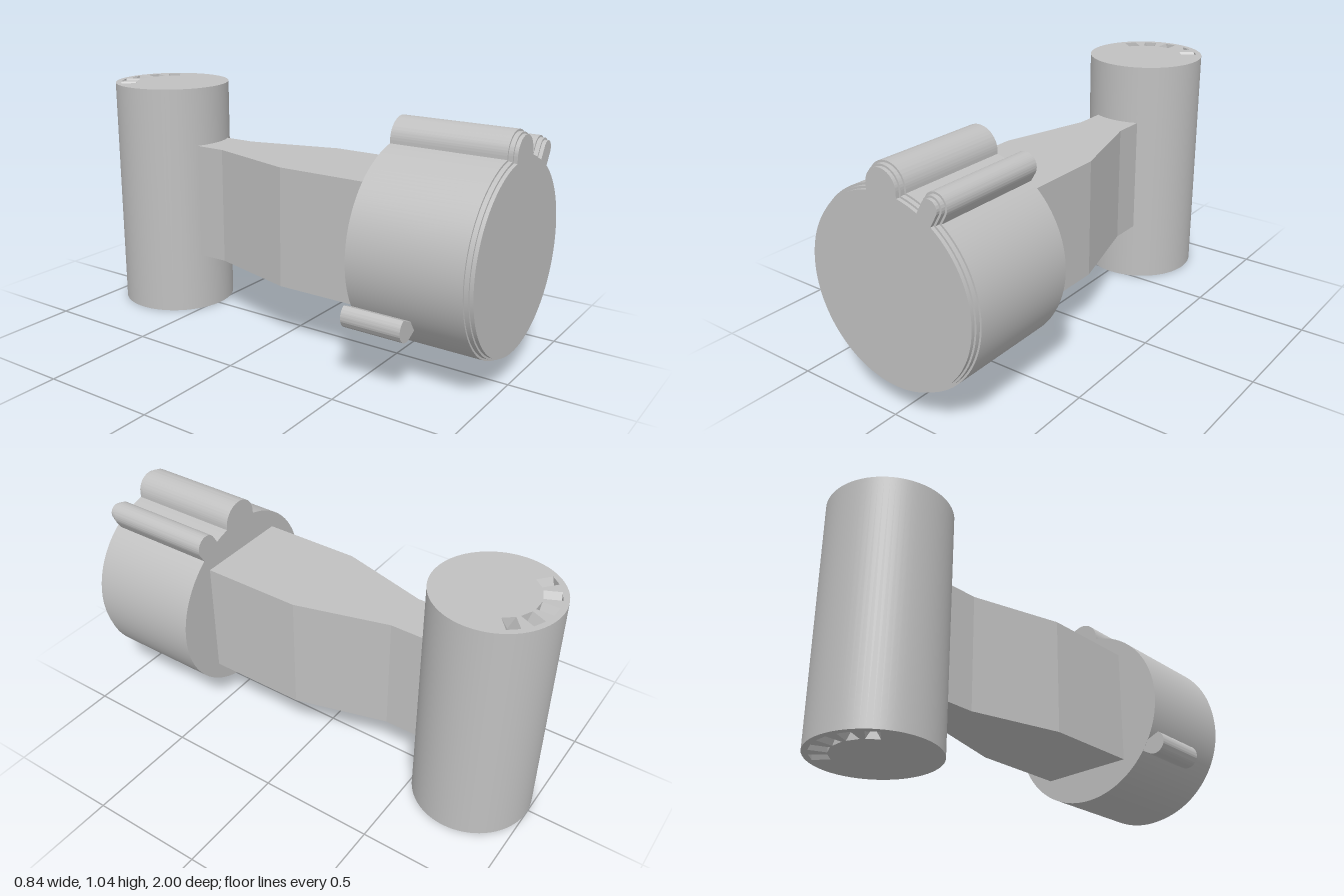
import * as THREE from 'three';
import { toCreasedNormals } from 'three/addons/utils/BufferGeometryUtils.js';

const grey = new THREE.MeshStandardMaterial({ color: 0xc0c0c0 });
grey.name = 'plain grey';

const CX = 0.013;          // shared centre line
const rad = THREE.MathUtils.degToRad;

function part(name, geometry, parent) {
  const mesh = new THREE.Mesh(geometry, grey);
  mesh.name = name;
  parent.add(mesh);
  return mesh;
}

function extrude(shape, depth) {
  const g = new THREE.ExtrudeGeometry(shape, { depth, bevelEnabled: false, curveSegments: 64 });
  return toCreasedNormals(g, 0.5);
}

// Rounded lobe pointing outward at angle t, traced counterclockwise
function lobe(shape, t, dist, r) {
  shape.absarc(dist * Math.cos(t), dist * Math.sin(t), r, t - Math.PI / 2, t + Math.PI / 2, false);
}

// Drum outline with two lobes, shrunk by an inset
function drumOutline(inset) {
  const R = 0.405 - inset, big = 0.088 - inset, small = 0.051 - inset;
  const a = Math.asin(big / R), b = Math.asin(small / R);
  const s = new THREE.Shape();
  lobe(s, rad(60), 0.442, small);
  s.absarc(0, 0, R, rad(60) + b, rad(90) - a, false);
  lobe(s, rad(90), 0.407, big);
  s.absarc(0, 0, R, rad(90) + a, rad(420) - b, false);
  s.closePath();
  return s;
}

// Notch sizes on the column ends
const NOTCH_ANGLES = [40, 65, 90, 115, 140].map(rad);
const NOTCH_R = 0.2, HALF_W = 0.027, HALF_L = 0.035, NOTCH_DEPTH = 0.05;

// Maps a notch's radial (u) and sideways (v) offset to the end face
function notchPoint(t, u, v) {
  const c = Math.cos(t), s = Math.sin(t), r = NOTCH_R + u;
  return new THREE.Vector2(r * c - v * s, r * s + v * c);
}

// V-shaped pocket: two sloping walls and two triangular ends
function notchGeometry(t) {
  const at = (u, v, z) => {
    const p = notchPoint(t, u, v);
    return [p.x, p.y, z];
  };
  const a = at(-HALF_L, -HALF_W, 0), b = at(HALF_L, -HALF_W, 0);
  const c = at(HALF_L, HALF_W, 0), d = at(-HALF_L, HALF_W, 0);
  const e = at(-HALF_L, 0, -NOTCH_DEPTH), f = at(HALF_L, 0, -NOTCH_DEPTH);
  const tris = [a, b, f, a, f, e, c, d, e, c, e, f, b, c, f, d, a, e];
  const g = new THREE.BufferGeometry();
  g.setAttribute('position', new THREE.Float32BufferAttribute(tris.flat(), 3));
  g.computeVertexNormals();
  return g;
}

// Round end face with an arc of notches, lying flat and facing up
function columnEnd(name) {
  const end = new THREE.Group();
  end.name = name;
  const disc = new THREE.Shape().absarc(0, 0, 0.26, 0, Math.PI * 2, false);
  for (const t of NOTCH_ANGLES) {
    disc.holes.push(new THREE.Path([
      notchPoint(t, -HALF_L, -HALF_W), notchPoint(t, -HALF_L, HALF_W),
      notchPoint(t, HALF_L, HALF_W), notchPoint(t, HALF_L, -HALF_W),
    ]));
    part('notch', notchGeometry(t), end).rotation.x = -Math.PI / 2;
  }
  part('endFace', new THREE.ShapeGeometry(disc, 36), end).rotation.x = -Math.PI / 2;
  return end;
}

export function createModel() {
  const model = new THREE.Group();
  model.name = 'bracketWithDrum';

  // Upright column at the back
  const column = new THREE.Group();
  column.name = 'column';
  column.position.set(CX, 0, -0.74);
  const H = 1.045;
  part('columnWall', new THREE.CylinderGeometry(0.26, 0.26, H, 72, 1, true), column).position.y = H / 2;
  const top = columnEnd('columnTop');
  top.position.y = H;
  const bottom = columnEnd('columnBottom');
  bottom.rotation.z = Math.PI;
  column.add(top, bottom);
  model.add(column);

  // Arm that narrows toward the column
  const half = [[0.217, -0.5], [0.217, -0.04], [0.107, 0.36], [0.107, 0.51]];
  const plan = [...half, ...half.map(([x, y]) => [-x, y]).reverse()];
  const armShape = new THREE.Shape(plan.map(([x, y]) => new THREE.Vector2(x, y)));
  const arm = part('arm', new THREE.ExtrudeGeometry(armShape, { depth: 0.52, bevelEnabled: false }), model);
  arm.rotation.x = -Math.PI / 2;
  arm.position.set(CX, 0.265, 0);

  // Drum in three layers, stepping in at the front rim
  const drum = new THREE.Group();
  drum.name = 'drum';
  drum.position.set(CX, 0.523, 0);
  const layers = [['drumBody', 0, 0.48, 0.967], ['outerRim', 0.008, 0.967, 0.985], ['frontRim', 0.016, 0.985, 1]];
  for (const [name, inset, z0, z1] of layers) {
    part(name, extrude(drumOutline(inset), z1 - z0), drum).position.z = z0;
  }

  // Short rounded tab low on the right side
  const tabShape = new THREE.Shape();
  tabShape.moveTo(0.36, -0.051);
  lobe(tabShape, 0, 0.442, 0.051);
  tabShape.lineTo(0.36, 0.051);
  const tab = part('sideTab', extrude(tabShape, 0.259), drum);
  tab.rotation.z = rad(210);
  tab.position.z = 0.481;
  model.add(drum);

  return model;
}
